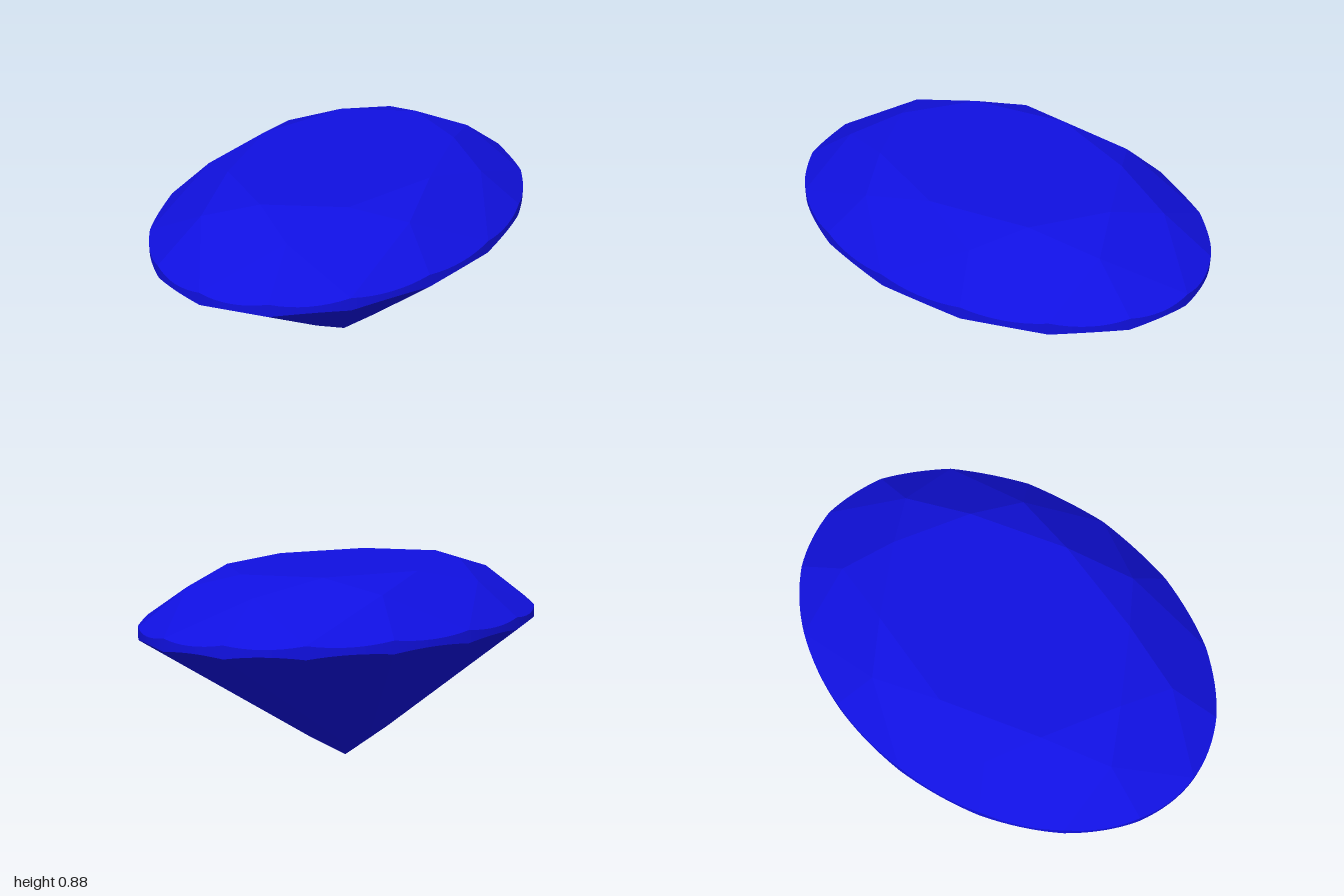
import * as THREE from 'three';

const RX = 0.72, RZ = 1, STEP = Math.PI / 8, ARC = 8;
const TABLE_Y = 0.885, TOP_Y = 0.67, BOTTOM_Y = 0.615;
const TABLE_R = 0.6, STAR_R = 0.775, CULET_R = 0.22;
const c = Math.cos(STEP), ch = Math.cos(STEP / 2);

// Heights that keep the kite facets of crown and pavilion flat
const STAR_Y = TABLE_Y - (TABLE_Y - TOP_Y) * (STAR_R * c - TABLE_R) / (1 - TABLE_R);
const LOWER_Y = BOTTOM_Y * CULET_R * c;
// Slopes of the facets that meet the girdle
const upSlope = (STAR_Y - TOP_Y) / (ch - STAR_R * ch);
const lowSlope = (BOTTOM_Y - LOWER_Y) / (ch - CULET_R * ch);

// Point on the oval; k counts sixteenths of a turn
const P = (k, r, y) => new THREE.Vector3(RX * r * Math.sin(k * STEP), y, RZ * r * Math.cos(k * STEP));

// Scalloped girdle edge, where a flat facet cuts the oval wall
function rim(k, baseY, slope) {
  const d = (k - Math.floor(k) - 0.5) * STEP;
  return P(k, 1, baseY + slope * (Math.cos(d) - ch));
}
const topRim = k => rim(k, TOP_Y, -upSlope);
const bottomRim = k => rim(k, BOTTOM_Y, lowSlope);
const arc = (k, edge) => Array.from({ length: ARC + 1 }, (_, i) =>
  i === 0 ? edge(k) : i === ARC ? edge(k + 1) : edge(k + i / ARC));

// Flat polygons as fans, each turned to face away from the middle
function facets(polygons) {
  const out = [], centre = new THREE.Vector3(0, 0.5, 0);
  for (const p of polygons) {
    for (let i = 1; i < p.length - 1; i++) {
      const [a, b, d] = [p[0], p[i], p[i + 1]];
      const n = b.clone().sub(a).cross(d.clone().sub(a));
      const tri = n.dot(a.clone().sub(centre)) > 0 ? [a, b, d] : [a, d, b];
      tri.forEach(v => out.push(v.x, v.y, v.z));
    }
  }
  const g = new THREE.BufferGeometry();
  g.setAttribute('position', new THREE.Float32BufferAttribute(out, 3));
  g.computeVertexNormals();
  return g;
}

// Smooth oval wall between the two scalloped edges
function girdleGeometry() {
  const pos = [], nor = [], idx = [], n = 16 * ARC;
  for (let i = 0; i <= n; i++) {
    const k = i / ARC, a = k * STEP;
    const normal = new THREE.Vector3(Math.sin(a) / RX, 0, Math.cos(a) / RZ).normalize();
    for (const v of [bottomRim(k), topRim(k)]) {
      pos.push(v.x, v.y, v.z);
      nor.push(normal.x, normal.y, normal.z);
    }
    if (i < n) idx.push(2 * i, 2 * i + 2, 2 * i + 3, 2 * i, 2 * i + 3, 2 * i + 1);
  }
  const g = new THREE.BufferGeometry();
  g.setAttribute('position', new THREE.Float32BufferAttribute(pos, 3));
  g.setAttribute('normal', new THREE.Float32BufferAttribute(nor, 3));
  g.setIndex(idx);
  return g;
}

export function createModel() {
  const group = new THREE.Group();
  group.name = 'ovalGem';
  const flat = new THREE.MeshStandardMaterial({ color: 0x1010e0, flatShading: true });
  const smooth = new THREE.MeshStandardMaterial({ color: 0x1010e0 });
  const add = (name, geometry, material) => {
    const m = new THREE.Mesh(geometry, material);
    m.name = name;
    group.add(m);
  };

  const T = k => P(k, TABLE_R, TABLE_Y), S = k => P(k, STAR_R, STAR_Y), L = k => P(k, CULET_R, LOWER_Y);
  const table = [], stars = [], bezels = [], upper = [], lower = [], mains = [];
  for (let k = 0; k < 16; k += 2) {
    table.push(T(k));
    stars.push([T(k), S(k + 1), T(k + 2)]);
    bezels.push([T(k), S(k - 1), topRim(k), S(k + 1)]);
    upper.push([S(k + 1), ...arc(k, topRim)], [S(k + 1), ...arc(k + 1, topRim)]);
    // Pavilion facets sit half a step round from the crown
    lower.push([L(k), ...arc(k, bottomRim)], [L(k), ...arc(k - 1, bottomRim)]);
    mains.push([new THREE.Vector3(), L(k), bottomRim(k + 1), L(k + 2)]);
  }

  add('table', facets([table]), flat);
  add('starFacets', facets(stars), flat);
  add('bezelFacets', facets(bezels), flat);
  add('upperGirdleFacets', facets(upper), flat);
  add('girdle', girdleGeometry(), smooth);
  add('lowerGirdleFacets', facets(lower), flat);
  add('pavilionMainFacets', facets(mains), flat);
  return group;
}
